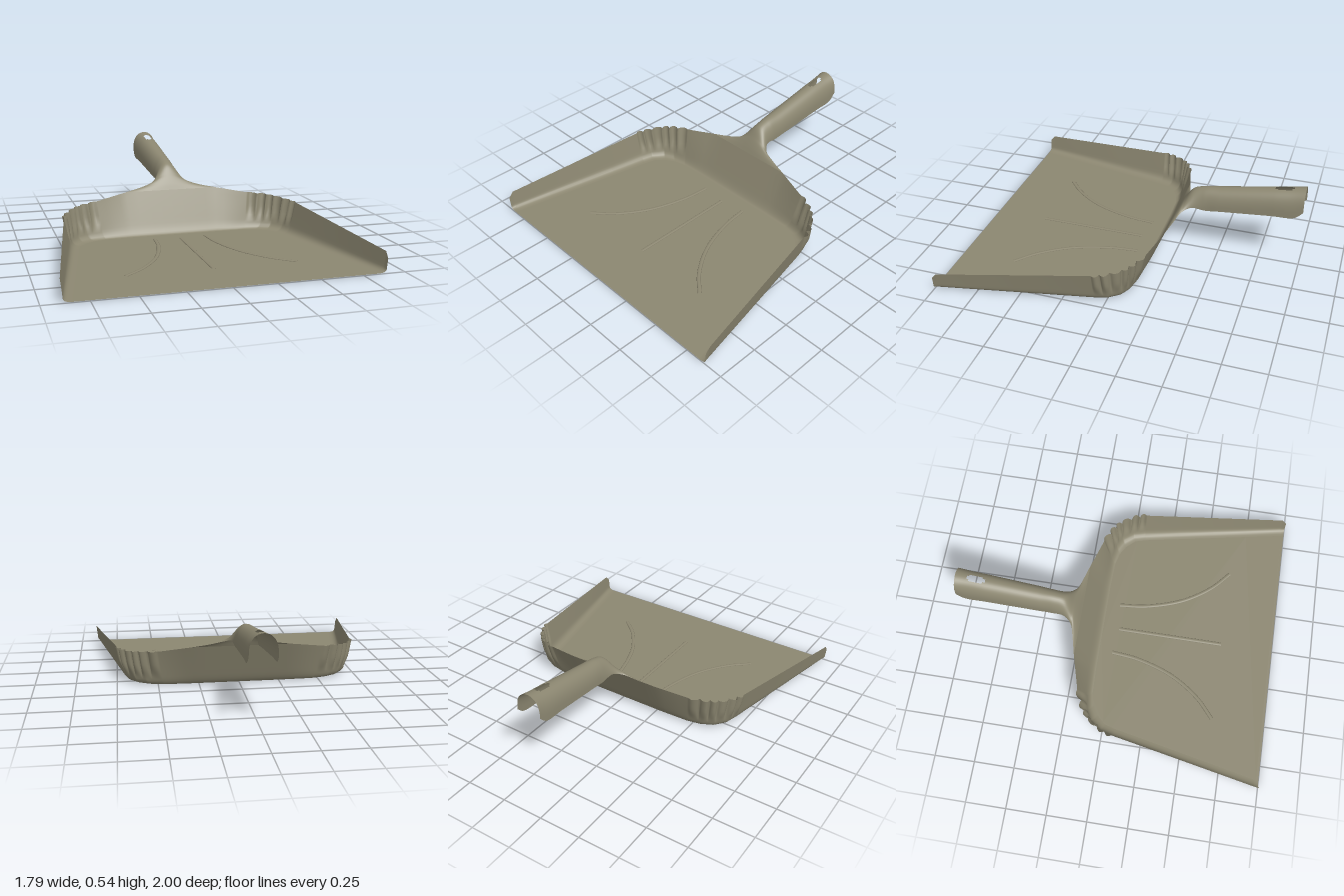
import * as THREE from 'three';

const V = (x, y, z) => new THREE.Vector3(x, y, z);
const BASE = 0.004;

// Open sheet from a rule giving the point at row i, column j; skip() leaves holes
function sheet(name, material, rows, cols, point, skip = () => false) {
  const pos = [], index = [];
  for (let i = 0; i <= rows; i++)
    for (let j = 0; j <= cols; j++) pos.push(...point(i, j).toArray());
  for (let i = 0; i < rows; i++)
    for (let j = 0; j < cols; j++) {
      if (skip(i, j)) continue;
      const a = i * (cols + 1) + j, b = a + cols + 1;
      index.push(a, b, a + 1, a + 1, b, b + 1);
    }
  const g = new THREE.BufferGeometry();
  g.setAttribute('position', new THREE.Float32BufferAttribute(pos, 3));
  g.setIndex(index);
  g.computeVertexNormals();
  const mesh = new THREE.Mesh(g, material);
  mesh.name = name;
  return mesh;
}

// Half outlines from the front corner round to the middle of the back
const RIM = [[.893, .085, 1], [.895, .12, .97], [.745, .205, .07], [.72, .21, 0], [.66, .22, -.09],
  [.6, .228, -.135], [.5, .235, -.18], [.3, .27, -.235], [0, .27, -.235]].map(p => V(...p));
const KNEE = [[.885, 1], [.88, .97], [.705, .07], [.685, -.01], [.635, -.075],
  [.57, -.105], [.47, -.12], [.28, -.125], [0, -.125]].map(([x, z]) => V(x, BASE, z));
const FLOOR = [[.84, 1], [.835, .97], [.66, .08], [.64, .01], [.59, -.045],
  [.53, -.08], [.45, -.1], [.28, -.105], [0, -.105]].map(([x, z]) => V(x, BASE, z));
const CORNER_START = 2, CORNER_END = 6;

// Sample positions along the outline, dense in the fluted corner
const stops = [];
for (let s = 0; s < RIM.length - 1; s++) {
  const n = s >= CORNER_START && s < CORNER_END ? 12 : 4;
  for (let k = 0; k < n; k++) stops.push(s + k / n);
}
stops.push(RIM.length - 1);

function along(list, s) {
  const i = Math.min(Math.floor(s), list.length - 2);
  return list[i].clone().lerp(list[i + 1], s - i);
}

// Wall section: rounded knee from the floor, then straight up to the rim
function wallPoint(s, row) {
  const f = along(FLOOR, s), c = along(KNEE, s), r = along(RIM, s);
  const q = c.clone().lerp(r, 0.25);
  if (row <= 6) {
    const t = row / 6;
    return f.lerp(c, t).lerp(c.clone().lerp(q, t), t);
  }
  const t = (row - 6) / 6;
  const p = q.lerp(r, t);
  if (s > CORNER_START && s < CORNER_END) {
    const phase = (s - CORNER_START) / (CORNER_END - CORNER_START) * 6;
    const bump = Math.pow(Math.abs(Math.sin(phase * Math.PI)), 0.7) - 0.35;
    const out = V(p.x - .45, 0, p.z - .12).normalize();
    p.addScaledVector(out, 0.024 * bump * Math.min(1, t * 2.5));
  }
  return p;
}

function mirrored(j, row) {
  const n = stops.length - 1;
  const p = wallPoint(stops[j <= n ? j : 2 * n - j], row);
  if (j > n) p.x = -p.x;
  return p;
}

// Neck and handle: lower edge line, crown line and roundness of each section
const EDGE = [[.3, .27, -.235], [.2, .29, -.26], [.12, .312, -.285], [.08, .33, -.335], [.07, .32, -.42],
  [.072, .33, -.5], [.078, .365, -.82], [.08, .378, -.95], [.078, .42, -1]];
const CROWN = [[0, .27, -.235], [0, .31, -.255], [0, .36, -.285], [0, .42, -.33], [0, .445, -.4],
  [0, .46, -.5], [0, .515, -.82], [0, .533, -.93], [0, .545, -1]];
const POWER = [2, 2, 2, 1.4, .9, .8, .7, .7, .7];

function handle(material) {
  const edge = new THREE.CatmullRomCurve3(EDGE.map(p => V(...p)));
  const crown = new THREE.CatmullRomCurve3(CROWN.map(p => V(...p)));
  const sub = 8, segs = EDGE.length - 1, rows = sub * segs, cols = 24;
  const point = (i, j) => {
    const e = edge.getPoint(i / rows), c = crown.getPoint(i / rows);
    const k = Math.min(Math.floor(i / sub), segs - 1);
    const power = THREE.MathUtils.lerp(POWER[k], POWER[k + 1], i / sub - k);
    const a = (j / cols * 2 - 1) * Math.PI / 2;
    const h = Math.pow(Math.max(0, Math.cos(a)), power);
    return V(e.x * Math.sin(a), e.y + (c.y - e.y) * h, e.z + (c.z - e.z) * h);
  };
  // hanging slot through the crown, narrower at both ends
  const first = 6 * sub, last = 7 * sub - 1;
  const slot = (i, j) => {
    if (i < first || i > last) return false;
    const half = i === first || i === last ? 1 : 2;
    return j >= cols / 2 - half && j < cols / 2 + half;
  };
  return sheet('neckAndHandle', material, rows, cols, point, slot);
}

export function createModel() {
  const group = new THREE.Group();
  group.name = 'dustpan';
  const metal = new THREE.MeshStandardMaterial({ color: 0x8c8771, side: THREE.DoubleSide });
  metal.name = 'olive grey';

  // Fluted side and back wall
  const cols = 2 * (stops.length - 1);
  group.add(sheet('wall', metal, 12, cols, (i, j) => mirrored(j, i)));

  // Flat floor inside the wall
  const outline = [];
  for (let j = 0; j <= cols; j++) {
    const p = mirrored(j, 0);
    outline.push(new THREE.Vector2(p.x, p.z));
  }
  const floorGeo = new THREE.ShapeGeometry(new THREE.Shape(outline)).rotateX(Math.PI / 2);
  const floor = new THREE.Mesh(floorGeo, metal);
  floor.name = 'floor';
  floor.position.y = BASE;
  group.add(floor);

  // Pressed stiffening ribs
  const rib = (name, pts) => {
    const path = new THREE.CatmullRomCurve3(pts.map(([x, z]) => V(x, 0, z)));
    const mesh = new THREE.Mesh(new THREE.TubeGeometry(path, 32, 0.012, 8), metal);
    mesh.name = name;
    mesh.scale.y = 0.4;
    mesh.position.y = BASE + 0.001;
    group.add(mesh);
  };
  rib('centreRib', [[0, 0], [0, .35], [0, .67]]);
  for (const [side, label] of [[1, 'left'], [-1, 'right']])
    rib(label + 'Rib', [[.165, -.02], [.185, .15], [.26, .38], [.38, .56], [.5, .67]].map(([x, z]) => [x * side, z]));

  group.add(handle(metal));
  return group;
}
